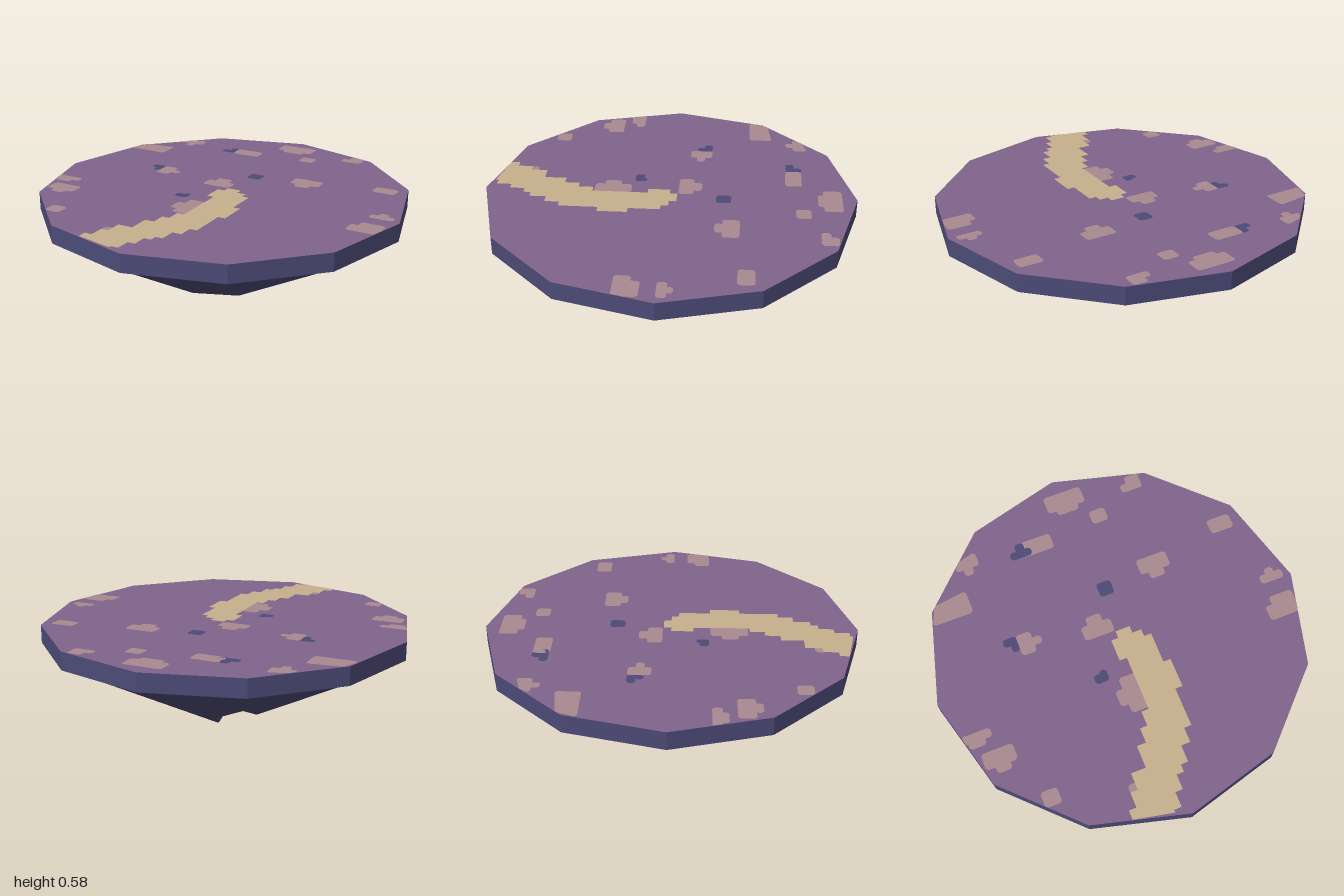
import * as THREE from 'three';
import { mergeGeometries } from 'three/addons/utils/BufferGeometryUtils.js';

const TOP = 0.578, RIM_Y = 0.48, SIDES = 12;

const material = (name, color, extra = {}) => {
  const m = new THREE.MeshStandardMaterial({ color, flatShading: true, ...extra });
  m.name = name;
  return m;
};

// Pulls a ground point back inside the twelve-sided rim.
function clampToRim([x, z]) {
  let reach = 0;
  for (let i = 0; i < SIDES; i++) {
    const a = ((i + 0.5) * Math.PI * 2) / SIDES;
    reach = Math.max(reach, x * Math.sin(a) + z * Math.cos(a));
  }
  const s = Math.min(1, Math.cos(Math.PI / SIDES) * 0.999 / reach);
  return [x * s, z * s];
}

// Flat polygon lying on the ground from [x, z] points.
function groundShape(points, lift) {
  const pts = points.map(clampToRim).map(([x, z]) => new THREE.Vector2(x, -z));
  return new THREE.ShapeGeometry(new THREE.Shape(pts)).rotateX(-Math.PI / 2).translate(0, TOP + lift, 0);
}

// Rectangle with clipped corners.
function blot([x0, z0, x1, z1], lift) {
  const c = 0.012;
  return groundShape([
    [x0 + c, z0], [x1 - c, z0], [x1, z0 + c], [x1, z1 - c],
    [x1 - c, z1], [x0 + c, z1], [x0, z1 - c], [x0, z0 + c],
  ], lift);
}

// Faceted underside: walks round the rim, joining it to a few uneven low points.
function rockGeometry() {
  const frontTip = [-0.12, 0, 0.145], sideTip = [0.21, 0.09, 0.22], backTip = [0, 0.02, -0.11];
  const shoulder = [-0.03, 0.085, -0.2], bulge = [-0.53, 0.27, 0.04], hollow = [-0.02, 0.085, -0.02];
  const rim = (i) => {
    const a = (i * Math.PI * 2) / SIDES;
    return [0.975 * Math.sin(a), RIM_Y, 0.975 * Math.cos(a)];
  };
  const steps = [
    [0, frontTip], [1, frontTip], [1, sideTip], [2, sideTip], [3, sideTip], [4, sideTip], [4, backTip],
    [5, backTip], [6, backTip], [6, shoulder], [7, shoulder], [8, shoulder], [8, hollow], [8, frontTip],
    [8, bulge], [9, bulge], [10, bulge], [10, frontTip], [11, frontTip], [12, frontTip],
  ];
  const tri = [];
  for (let i = 1; i < steps.length; i++) {
    const [r0, t0] = steps[i - 1], [r1, t1] = steps[i];
    if (r1 !== r0) tri.push(rim(r0), t0, rim(r1));
    else tri.push(rim(r1), t0, t1);
  }
  // facets round the hollow between the low points
  const low = [frontTip, sideTip, backTip, shoulder];
  for (let i = 0; i < 3; i++) tri.push(low[i], hollow, low[i + 1]);
  const g = new THREE.BufferGeometry();
  g.setAttribute('position', new THREE.Float32BufferAttribute(tri.flat(), 3));
  g.computeVertexNormals();
  return g;
}

export function createModel() {
  const group = new THREE.Group();
  group.name = 'floatingIsland';
  const rock = material('dark blue rock', 0x4c4a76, { side: THREE.DoubleSide });
  const ground = material('purple ground', 0x80648b);
  const dust = material('dusty pink', 0xa98a90);
  const sand = material('sand', 0xc6af8d);

  const add = (name, geometry, mat) => {
    const mesh = new THREE.Mesh(geometry, mat);
    mesh.name = name;
    group.add(mesh);
  };

  // Slab with ground on top and rock round the edge
  const slab = new THREE.CylinderGeometry(1, 1, TOP - RIM_Y, SIDES);
  slab.translate(0, (TOP + RIM_Y) / 2, 0);
  add('slab', slab, [rock, ground, rock]);
  add('underside', rockGeometry(), rock);

  // Pale patches: x0, z0, x1, z1
  const pale = [
    [-0.085, -0.92, 0.13, -0.82], [-0.04, -0.84, 0.085, -0.79],
    [0.38, -0.88, 0.46, -0.8], [0.34, -0.84, 0.46, -0.79],
    [0.12, -0.75, 0.21, -0.67], [-0.29, -0.71, -0.125, -0.62],
    [-0.67, -0.75, -0.54, -0.67], [-0.63, -0.69, -0.58, -0.63],
    [-0.88, -0.55, -0.66, -0.42],
    [0.25, -0.38, 0.42, -0.29], [0.29, -0.31, 0.375, -0.25],
    [0.7, -0.46, 0.83, -0.375],
    [-0.5, -0.21, -0.42, -0.09], [-0.46, -0.17, -0.375, -0.125],
    [-0.125, -0.17, -0.04, -0.06], [-0.165, -0.125, 0, -0.045],
    [0.87, -0.08, 0.92, -0.02], [0.83, -0.05, 0.96, 0],
    [0.83, 0.08, 0.96, 0.15], [0.79, 0.125, 0.96, 0.21],
    [-0.95, 0.21, -0.79, 0.26], [-0.92, 0.22, -0.83, 0.29],
    [-0.88, 0.33, -0.71, 0.42], [-0.83, 0.4, -0.75, 0.455],
    [-0.67, 0.625, -0.58, 0.71],
    [-0.085, 0.21, 0.02, 0.41], [-0.125, 0.27, 0.02, 0.36],
    [-0.25, 0.75, -0.19, 0.81],
  ];
  add('palePatches', mergeGeometries(pale.map((r) => blot(r, 0.002))), dust);

  // Small bare rock spots
  const bare = [
    [-0.33, -0.71, -0.28, -0.65], [-0.37, -0.67, -0.25, -0.625],
    [0, -0.33, 0.08, -0.25],
    [-0.575, -0.21, -0.5, -0.165], [-0.54, -0.19, -0.5, -0.125],
    [-0.165, 0.135, -0.125, 0.2], [-0.2, 0.15, -0.13, 0.2],
  ];
  add('rockSpots', mergeGeometries(bare.map((r) => blot(r, 0.002))), rock);

  // Stepped sandy path: z start, z end, left x, right x
  const rows = [
    [-0.04, 0, 0, 0.08], [0, 0.04, -0.04, 0.13], [0.04, 0.12, -0.04, 0.17], [0.12, 0.21, 0, 0.17],
    [0.21, 0.37, 0, 0.21], [0.37, 0.42, 0, 0.17], [0.42, 0.5, -0.04, 0.17], [0.5, 0.58, -0.08, 0.17],
    [0.58, 0.66, -0.13, 0.13], [0.66, 0.7, -0.13, 0.08], [0.7, 0.75, -0.21, 0.08],
    [0.75, 0.79, -0.21, 0.04], [0.79, 0.87, -0.25, 0], [0.87, 0.9, -0.29, -0.04],
  ];
  const leftEdge = rows.flatMap(([a, b, l]) => [[l, a], [l, b]]);
  const rightEdge = rows.flatMap(([a, b, , r]) => [[r, a], [r, b]]).reverse();
  const end = [[-0.29, 0.92], [-0.08, 0.965], [-0.08, 0.95], [-0.04, 0.95]];
  add('sandPath', groundShape([...leftEdge, ...end, ...rightEdge], 0.003), sand);

  return group;
}
